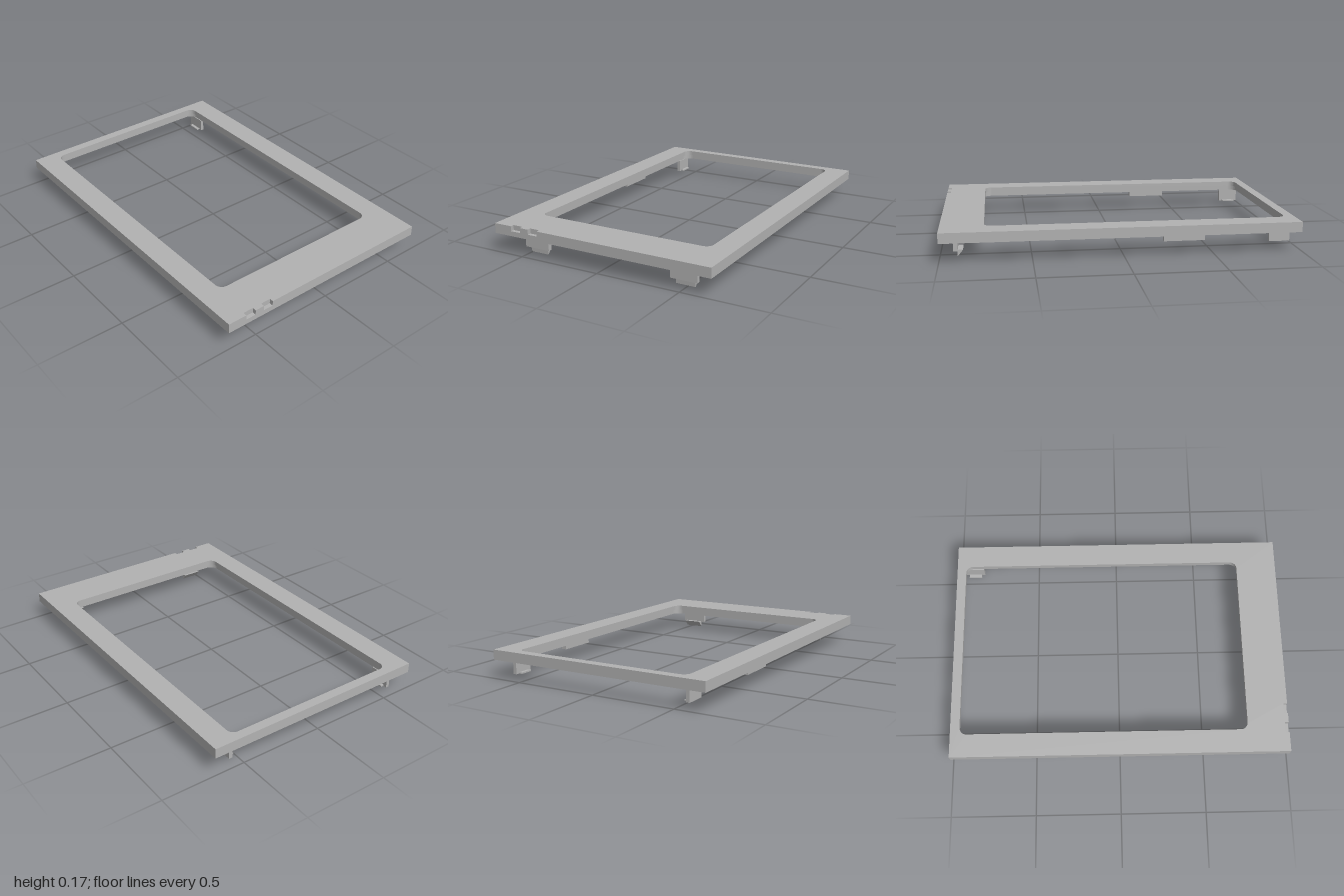
import * as THREE from 'three';

const plastic = new THREE.MeshStandardMaterial({ color: 0xb2b2b2 });
plastic.name = 'grey plastic';

function add(parent, geometry, name) {
  const mesh = new THREE.Mesh(geometry, plastic);
  mesh.name = name;
  parent.add(mesh);
  return mesh;
}

// Box given by its limits on each axis
function box(parent, name, [x0, x1], [y0, y1], [z0, z1]) {
  const mesh = add(parent, new THREE.BoxGeometry(x1 - x0, y1 - y0, z1 - z0), name);
  mesh.position.set((x0 + x1) / 2, (y0 + y1) / 2, (z0 + z1) / 2);
  return mesh;
}

// Rounded rectangular opening in plan (x, z), widened by grow
function opening(grow) {
  const x0 = -0.543 - grow, x1 = 0.543 + grow, z0 = -0.945 - grow, z1 = 0.757 + grow;
  const r = 0.042 + grow;
  const path = new THREE.Path();
  path.absarc(x1 - r, z1 - r, r, 0, Math.PI / 2);
  path.absarc(x0 + r, z1 - r, r, Math.PI / 2, Math.PI);
  path.absarc(x0 + r, z0 + r, r, Math.PI, Math.PI * 1.5);
  path.absarc(x1 - r, z0 + r, r, Math.PI * 1.5, Math.PI * 2);
  path.closePath();
  return path;
}

// One horizontal layer of the frame, with optional notches in the front edge
function layer(parent, name, yTop, yBottom, grow, notches) {
  const points = [[-0.68, -1], [0.68, -1], [0.68, 1]];
  for (const [a, b] of notches) points.push([b, 1], [b, 0.977], [a, 0.977], [a, 1]);
  points.push([-0.68, 1]);
  const shape = new THREE.Shape(points.map(([x, z]) => new THREE.Vector2(x, z)));
  shape.holes.push(opening(grow));
  const geometry = new THREE.ExtrudeGeometry(shape, {
    depth: yTop - yBottom, bevelEnabled: false, curveSegments: 8,
  });
  geometry.rotateX(Math.PI / 2).translate(0, yTop, 0);
  add(parent, geometry, name);
}

// Triangular prism along x; profile points are [z, y]
function wedge(parent, name, profile, x0, x1) {
  const shape = new THREE.Shape(profile.map(([z, y]) => new THREE.Vector2(-z, y)));
  const geometry = new THREE.ExtrudeGeometry(shape, { depth: x1 - x0, bevelEnabled: false });
  geometry.rotateY(Math.PI / 2).translate(x0, 0, 0);
  add(parent, geometry, name);
}

export function createModel() {
  const model = new THREE.Group();
  model.name = 'bezelFrame';

  // Frame: notched upper layer and a slightly wider opening beneath
  layer(model, 'upperFrame', 0.167, 0.138, 0, [[-0.45, -0.39], [-0.567, -0.505]]);
  layer(model, 'lowerFrame', 0.138, 0.109, 0.012, []);

  // Front snap clips with backward hooks
  for (const centre of [-0.449, 0.484]) {
    const clip = new THREE.Group();
    clip.name = 'frontClip';
    model.add(clip);
    box(clip, 'clipPlate', [centre - 0.079, centre + 0.079], [0.033, 0.11], [0.903, 0.927]);
    wedge(clip, 'clipHook', [[0.906, 0.037], [0.874, 0.037], [0.904, 0]], centre - 0.057, centre + 0.057);
  }

  // Mirrored side ribs and rear clips
  for (const side of [-1, 1]) {
    const span = (a, b) => (side > 0 ? [a, b] : [-b, -a]);
    box(model, 'sideRib', span(0.603, 0.634), [0.07, 0.11], [-0.455, -0.225]);
    const clip = new THREE.Group();
    clip.name = 'rearClip';
    model.add(clip);
    box(clip, 'rearClipPlate', span(0.549, 0.57), [0.033, 0.11], [-0.965, -0.845]);
    box(clip, 'rearClipLip', span(0.529, 0.55), [0.033, 0.041], [-0.945, -0.865]);
  }
  return model;
}
